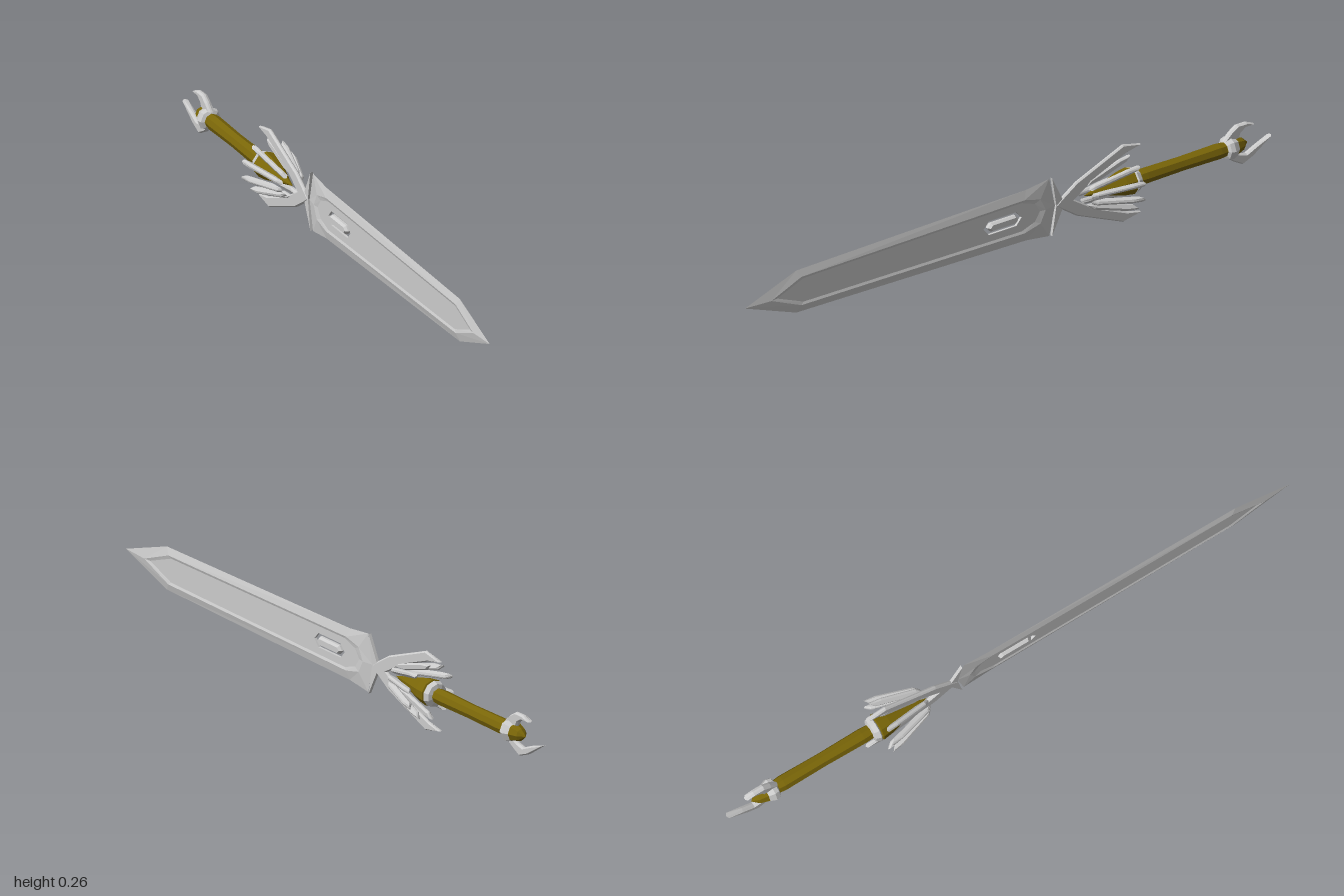
import * as THREE from 'three';

const grey = new THREE.MeshStandardMaterial({ color: 0xcccccc, flatShading: true, side: THREE.DoubleSide });
const gold = new THREE.MeshStandardMaterial({ color: 0x7a6608, flatShading: true, side: THREE.DoubleSide });
const AXIS_Y = 0.134; // height of the sword's long axis

const mirrored = (half) => [
  ...half,
  ...half.filter(([, h]) => h !== 0).reverse().map(([z, h]) => [z, -h]),
];
const toPath = (pts) => pts.map(([z, h]) => new THREE.Vector2(z, h));

// Chamfered plate drawn in (z, height), centred on x = 0
function plate(pts, thick, chamfer = 0, hole = null) {
  const shape = new THREE.Shape(toPath(pts));
  if (hole) shape.holes.push(new THREE.Path(toPath(hole)));
  const edge = chamfer ? thick * 0.35 : 0;
  const geo = new THREE.ExtrudeGeometry(shape, {
    depth: thick - 2 * edge, bevelEnabled: chamfer > 0, bevelSegments: 1,
    bevelThickness: edge, bevelSize: chamfer, bevelOffset: -chamfer,
  });
  geo.translate(0, 0, -(thick - 2 * edge) / 2);
  return geo.rotateY(-Math.PI / 2);
}

// Sloped band joining two outlines at different depths
function band(outer, xo, inner, xi) {
  const pos = [], idx = [], n = outer.length;
  for (let i = 0; i < n; i++) {
    pos.push(xo, outer[i][1], outer[i][0], xi, inner[i][1], inner[i][0]);
    const a = 2 * i, b = 2 * ((i + 1) % n);
    if (xi + xo > 0) idx.push(a, a + 1, b, b, a + 1, b + 1);
    else idx.push(a, b, a + 1, b, b + 1, a + 1);
  }
  const geo = new THREE.BufferGeometry();
  geo.setAttribute('position', new THREE.Float32BufferAttribute(pos, 3));
  geo.setIndex(idx);
  geo.computeVertexNormals();
  return geo;
}

// Faceted turned part along z, profile in (radius, z)
function turned(profile, sides) {
  const pts = profile.map(([r, z]) => new THREE.Vector2(r, z));
  return new THREE.LatheGeometry(pts, sides).rotateX(Math.PI / 2);
}

export function createModel() {
  const model = new THREE.Group();
  model.name = 'sword';
  const add = (name, geo, mat = grey, parent = model) => {
    const mesh = new THREE.Mesh(geo, mat);
    mesh.name = name;
    parent.add(mesh);
    return mesh;
  };

  // Blade: sharp edge, raised ridge, sunken fuller with a slot
  const blade = new THREE.Group();
  blade.name = 'blade';
  model.add(blade);
  const edge = mirrored([[1, 0], [0.805, 0.07], [-0.07, 0.084], [-0.158, 0.095], [-0.18, 0]]);
  const ridge = mirrored([[0.905, 0], [0.79, 0.047], [-0.06, 0.055], [-0.12, 0.04], [-0.14, 0]]);
  const floor = mirrored([[0.88, 0], [0.78, 0.039], [-0.05, 0.047], [-0.1, 0.03], [-0.12, 0]]);
  const slot = mirrored([[0.095, 0], [0.075, 0.023], [-0.03, 0.023], [-0.05, 0]]);
  for (const s of [1, -1]) {
    add('bladeBevel', band(edge, 0, ridge, s * 0.007), grey, blade);
    add('fullerWall', band(ridge, s * 0.007, floor, s * 0.004), grey, blade);
  }
  add('fuller', plate(floor, 0.008, 0, slot), grey, blade);
  add('slotBar', plate(mirrored([[0.079, 0], [0.067, 0.014], [-0.025, 0.014], [-0.037, 0]]), 0.024, 0.005), grey, blade);

  // Guard: spiked crescent and forked prongs
  add('guardCrescent', plate(
    [[-0.166, 0.096], [-0.205, 0.016], [-0.205, -0.016], [-0.166, -0.096], [-0.182, 0]], 0.01));
  add('guardProngs', plate(mirrored([
    [-0.18, 0], [-0.2, 0.016], [-0.26, 0.056], [-0.437, 0.128], [-0.505, 0.112],
    [-0.45, 0.098], [-0.33, 0.05], [-0.25, 0]]), 0.014, 0.004));

  // Ten petals fanned around the collar cone
  const petals = new THREE.Group();
  petals.name = 'petals';
  model.add(petals);
  const petalGeo = plate(
    [[-0.295, 0.034], [-0.31, 0.049], [-0.42, 0.084], [-0.46, 0.089], [-0.445, 0.07], [-0.34, 0.036]], 0.015, 0.004);
  for (let i = 0; i < 10; i++) {
    add('petal', petalGeo, grey, petals).rotation.z = (i / 10) * Math.PI * 2 - 0.05;
  }

  // Hilt
  add('collarCone', turned([[0.024, -0.475], [0.043, -0.465], [0.038, -0.43], [0, -0.29]], 10), gold);
  add('collarRing', turned([[0.022, -0.492], [0.036, -0.488], [0.042, -0.472], [0.03, -0.462]], 10));
  add('grip', turned([[0.021, -0.84], [0.025, -0.8], [0.023, -0.66], [0.025, -0.52], [0.022, -0.47]], 8), gold);

  // Pommel with two hooked claws
  add('pommel', turned([[0, -0.912], [0.02, -0.89], [0.031, -0.855], [0.03, -0.835], [0.022, -0.82]], 8), gold);
  add('pommelRing', turned([[0.03, -0.862], [0.038, -0.842], [0.034, -0.828], [0.022, -0.822]], 8));
  add('upperClaw', plate(
    [[-0.82, 0.028], [-0.845, 0.052], [-0.87, 0.068], [-0.905, 0.068], [-0.935, 0.055],
      [-0.9, 0.052], [-0.882, 0.04], [-0.875, 0.024], [-0.85, 0.02]], 0.02, 0.004));
  add('lowerClaw', plate(
    [[-0.825, -0.025], [-0.855, -0.048], [-0.89, -0.067], [-0.93, -0.05], [-1, 0],
      [-0.945, -0.018], [-0.905, -0.036], [-0.88, -0.03], [-0.86, -0.02]], 0.02, 0.004));

  model.children.forEach((part) => { part.position.y = AXIS_Y; });
  return model;
}
